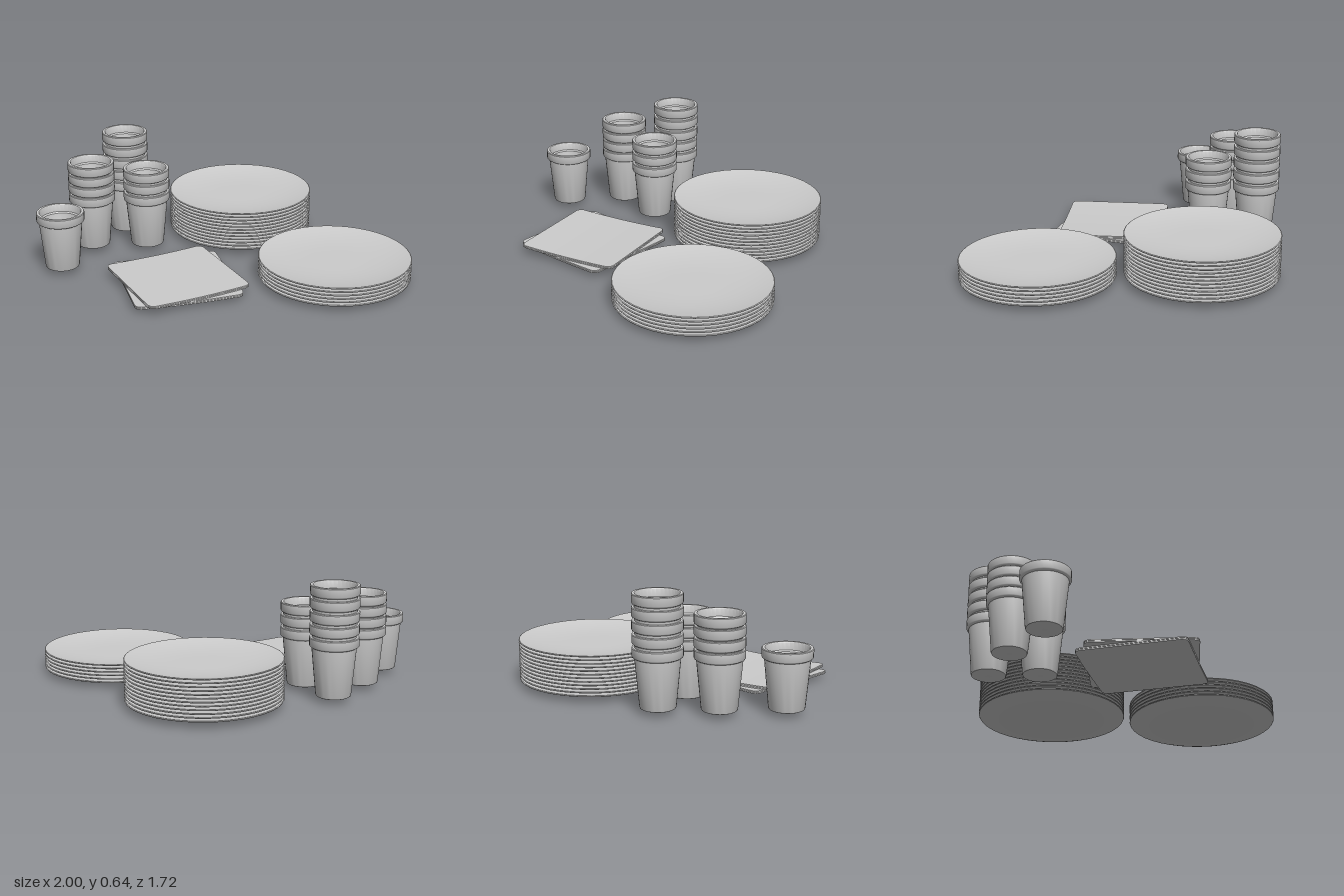
import * as THREE from 'three';
import { toCreasedNormals } from 'three/addons/utils/BufferGeometryUtils.js';

const material = new THREE.MeshStandardMaterial({ color: 0xcccccc });

// Revolve a closed [radius, height] profile, keeping hard edges sharp
function revolve(profile, sides) {
  const points = profile.map(([r, y]) => new THREE.Vector2(r, y));
  return toCreasedNormals(new THREE.LatheGeometry(points, sides), 0.6);
}

// Repeat one geometry upwards as a named stack
function stack(name, partName, geometry, count, spacing, x, y, z) {
  const group = new THREE.Group();
  group.name = name;
  for (let i = 0; i < count; i++) {
    const mesh = new THREE.Mesh(geometry, material);
    mesh.name = partName;
    mesh.position.y = i * spacing;
    mesh.rotation.y = i * 0.7;
    group.add(mesh);
  }
  group.position.set(x, y, z);
  return group;
}

// Thin square sheet with clipped corners and a gentle sag
function napkinGeometry(size, thickness, sag) {
  const geometry = new THREE.BoxGeometry(size, thickness, size, 20, 1, 20);
  const p = geometry.attributes.position;
  const half = size / 2, radius = 0.03, inner = half - radius;
  for (let i = 0; i < p.count; i++) {
    let x = p.getX(i), z = p.getZ(i);
    const dx = Math.abs(x) - inner, dz = Math.abs(z) - inner;
    if (dx > 0 && dz > 0) {
      const k = Math.min(1, radius / Math.hypot(dx, dz));
      x = Math.sign(x) * (inner + dx * k);
      z = Math.sign(z) * (inner + dz * k);
    }
    p.setXYZ(i, x, p.getY(i) + sag * (x / half) ** 2, z);
  }
  geometry.computeVertexNormals();
  return geometry;
}

export function createModel() {
  const model = new THREE.Group();
  model.name = 'picnicTableware';

  // Plates: shallow dish with a raised rim
  const plate = revolve([
    [0, 0], [0.2, 0], [0.28, 0.004], [0.35, 0.013], [0.4, 0.023], [0.428, 0.031],
    [0.43, 0.035], [0.426, 0.038], [0.395, 0.031], [0.34, 0.021], [0.27, 0.013], [0.2, 0.009],
    [0.15, 0.008], [0, 0.008],
  ], 40);
  model.add(stack('tallPlateStack', 'plate', plate, 12, 0.02, 0.305, 0.005, -0.425));
  model.add(stack('shortPlateStack', 'plate', plate, 6, 0.02, 0.565, 0, 0.432));

  // Cups: tapered wall, overhanging rim band, inner ledge
  const cup = revolve([
    [0, 0], [0.088, 0], [0.094, 0.003], [0.097, 0.01], [0.122, 0.272], [0.132, 0.278],
    [0.135, 0.283], [0.135, 0.326], [0.132, 0.33], [0.118, 0.33], [0.115, 0.326], [0.113, 0.285],
    [0.105, 0.278], [0.08, 0.02], [0.075, 0.014], [0, 0.014],
  ], 32);
  // count, spacing, x, z
  const cupStacks = [
    [1, 0, -0.865, -0.15],
    [4, 0.062, -0.625, -0.405],
    [3, 0.07, -0.315, -0.325],
    [5, 0.071, -0.37, -0.6],
  ];
  for (const [count, spacing, x, z] of cupStacks) {
    model.add(stack('cupStack', 'cup', cup, count, spacing, x, 0.03, z));
  }

  // Napkins: two folded squares, each of two plies, turned against each other
  const napkins = new THREE.Group();
  napkins.name = 'napkins';
  const ply = napkinGeometry(0.602, 0.007, 0.007);
  for (const [y, turn] of [[0.026, -0.04], [0.044, 0.16]]) {
    const napkin = new THREE.Group();
    napkin.name = 'napkin';
    for (let i = 0; i < 2; i++) {
      const mesh = new THREE.Mesh(ply, material);
      mesh.name = 'napkinPly';
      mesh.position.y = i * 0.009;
      napkin.add(mesh);
    }
    napkin.position.y = y;
    napkin.rotation.y = turn;
    napkins.add(napkin);
  }
  napkins.position.set(-0.302, 0, 0.245);
  model.add(napkins);

  return model;
}
